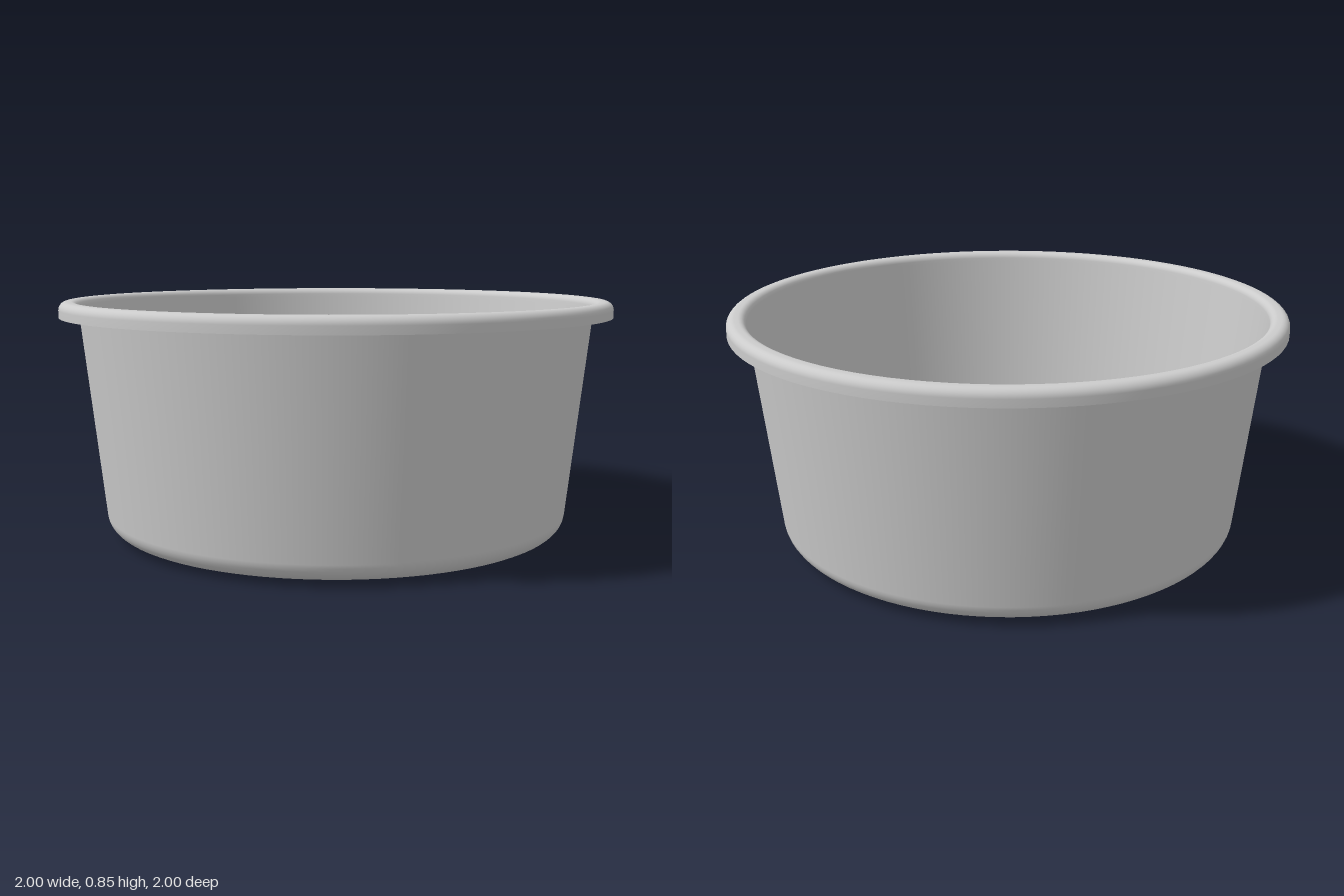
import * as THREE from 'three';

const SEGMENTS = 96;

// Points along a circular arc, angles in degrees
function arc(cx, cy, r, from, to, steps = 8) {
  return Array.from({ length: steps + 1 }, (_, i) => {
    const a = THREE.MathUtils.degToRad(from + ((to - from) * i) / steps);
    return new THREE.Vector2(cx + r * Math.cos(a), cy + r * Math.sin(a));
  });
}

function lathe(name, points, material) {
  const mesh = new THREE.Mesh(new THREE.LatheGeometry(points, SEGMENTS), material);
  mesh.name = name;
  return mesh;
}

export function createModel() {
  const group = new THREE.Group();
  group.name = 'bowl';
  const material = new THREE.MeshStandardMaterial({ color: 0xcccccc, side: THREE.DoubleSide });
  const V = (x, y) => new THREE.Vector2(x, y);

  // Thin shell: flat floor, rounded bottom corner, tapered wall, hollow rolled lip
  group.add(lathe('shell', [
    V(0, 0.014), V(0.4, 0.014), V(0.74, 0.014),
    ...arc(0.778, 0.086, 0.072, -90, -6),
    V(0.89, 0.45), V(0.93, 0.815),
    ...arc(0.957, 0.825, 0.026, 174, 90, 6),
    ...arc(0.971, 0.822, 0.029, 90, 0, 6),
    V(1, 0.795),
  ], material));

  // Shallow foot disc under the floor: chamfered edge and flat base
  group.add(lathe('footEdge', [V(0.7, 0), V(0.71, 0.006), V(0.71, 0.014)], material));
  const base = new THREE.Mesh(new THREE.CircleGeometry(0.7, SEGMENTS), material);
  base.name = 'footBase';
  base.rotation.x = Math.PI / 2;
  group.add(base);

  return group;
}
